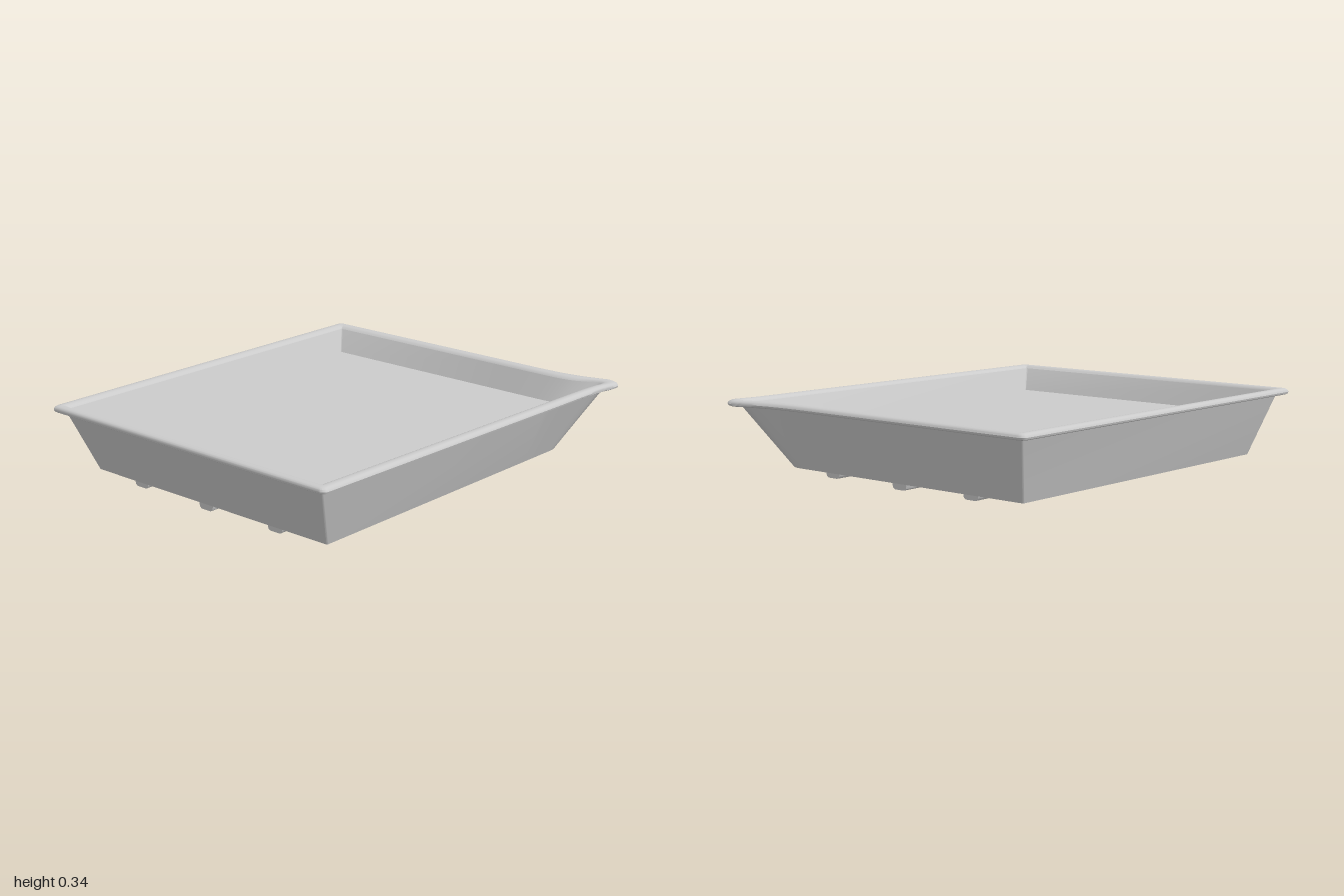
import * as THREE from 'three';
import { toCreasedNormals } from 'three/addons/utils/BufferGeometryUtils.js';

const BASE_Y = 0.026, WALL_Y = 0.3, FLOOR_Y = 0.213;
const material = new THREE.MeshStandardMaterial({ color: 0xcccccc });

// Rounded corner of an outline, turning from angle `start` through 90 degrees.
function corner(x, z, start, r) {
  const cx = x - Math.sign(x) * r, cz = z - Math.sign(z) * r;
  return [0, 1, 2, 3].map((i) => {
    const a = start + (i / 3) * Math.PI / 2;
    return new THREE.Vector2(cx + r * Math.sin(a), cz + r * Math.cos(a));
  });
}

// Outline (x, z): three rounded corners and a pulled-out pouring corner.
function outline(left, right, front, back, r, spout) {
  const curve = new THREE.CatmullRomCurve3(spout.map(([x, z]) => new THREE.Vector3(x, 0, z)));
  return [
    ...corner(right, front, 0, r),
    ...curve.getPoints(50).map((p) => new THREE.Vector2(p.x, p.z)),
    ...corner(left, back, Math.PI, r),
    ...corner(left, front, Math.PI * 1.5, r),
  ];
}

const baseLine = outline(-0.72, 0.658, 0.845, -0.79, 0.008, [
  [0.66, -0.5], [0.66, -0.68], [0.66, -0.715], [0.65, -0.755], [0.635, -0.775], [0.605, -0.788],
  [0.57, -0.79], [0.53, -0.79], [0.48, -0.79], [0.4, -0.79], [0.2, -0.79]]);
const wallLine = outline(-0.8, 0.73, 0.955, -0.893, 0.01, [
  [0.768, -0.5], [0.774, -0.75], [0.782, -0.86], [0.79, -0.91], [0.78, -0.943], [0.745, -0.947],
  [0.706, -0.932], [0.648, -0.91], [0.58, -0.898], [0.45, -0.893], [0.2, -0.893]]);
const rimLine = outline(-0.85, 0.782, 0.998, -0.943, 0.025, [
  [0.818, -0.5], [0.823, -0.76], [0.831, -0.88], [0.845, -0.945], [0.84, -0.978], [0.805, -0.999],
  [0.755, -0.988], [0.68, -0.968], [0.59, -0.952], [0.46, -0.943], [0.2, -0.943]]);

// Ring on the wall (t: 0 base, 1 top), moved `out` of the way towards the rim edge.
function ring(t, out, y) {
  return baseLine.map((b, i) => {
    const p = b.clone().lerp(wallLine[i], t);
    const d = rimLine[i].clone().sub(wallLine[i]).multiplyScalar(out);
    return new THREE.Vector3(p.x + d.x, y, p.y + d.y);
  });
}

// Skin a run of rings.
function loft(rings) {
  const n = rings[0].length, index = [];
  for (let j = 0; j < rings.length - 1; j++) {
    for (let i = 0; i < n; i++) {
      const k = (i + 1) % n, a = j * n, b = a + n;
      index.push(a + i, a + k, b + k, a + i, b + k, b + i);
    }
  }
  const geo = new THREE.BufferGeometry().setFromPoints(rings.flat());
  geo.setIndex(index);
  return toCreasedNormals(geo, 0.65);
}

// Flat fan filling a ring.
function cap(points, up) {
  const n = points.length, index = [];
  for (let i = 0; i < n; i++) {
    const k = (i + 1) % n;
    index.push(n, up ? i : k, up ? k : i);
  }
  const geo = new THREE.BufferGeometry().setFromPoints([...points, new THREE.Vector3(0, points[0].y, 0)]);
  geo.setIndex(index);
  geo.computeVertexNormals();
  return geo;
}

export function createModel() {
  const group = new THREE.Group();
  group.name = 'pouringTray';
  const add = (name, geo) => {
    const mesh = new THREE.Mesh(geo, material);
    mesh.name = name;
    group.add(mesh);
    return mesh;
  };

  const bottom = ring(0, 0, BASE_Y);
  const wallTop = ring(1, 0, WALL_Y);
  const rimInner = ring(1, -0.2, 0.32);
  const floorEdge = ring(0.56, -0.25, FLOOR_Y);

  // Sloping walls, outside and inside
  add('outerWall', loft([bottom, wallTop]));
  add('innerWall', loft([rimInner, floorEdge]));

  // Rounded lip with a small fillet under it: [distance out, height]
  const lip = [[0.08, 0.304], [0.25, 0.306], [0.8, 0.306], [0.95, 0.31], [1, 0.318], [0.93, 0.327],
    [0.75, 0.333], [0.45, 0.335], [0.15, 0.333], [-0.08, 0.328]];
  add('rim', loft([wallTop, ...lip.map(([out, y]) => ring(1, out, y)), rimInner]));

  // Floor and underside
  add('floor', cap(floorEdge, true));
  add('underside', cap(bottom, false));

  // Three rounded ribs under the base
  for (const [x, depth] of [[-0.44, 0.021], [-0.035, 0.026], [0.37, 0.021]]) {
    const s = new THREE.Shape();
    s.moveTo(-0.042, 0.004);
    s.lineTo(-0.039, -depth * 0.5);
    s.quadraticCurveTo(-0.035, -depth, -0.02, -depth);
    s.lineTo(0.02, -depth);
    s.quadraticCurveTo(0.035, -depth, 0.039, -depth * 0.5);
    s.lineTo(0.042, 0.004);
    const geo = new THREE.ExtrudeGeometry(s, { depth: 1.635, bevelEnabled: false, curveSegments: 6 });
    add('baseRib', toCreasedNormals(geo, 0.65)).position.set(x, BASE_Y, -0.79);
  }
  return group;
}
